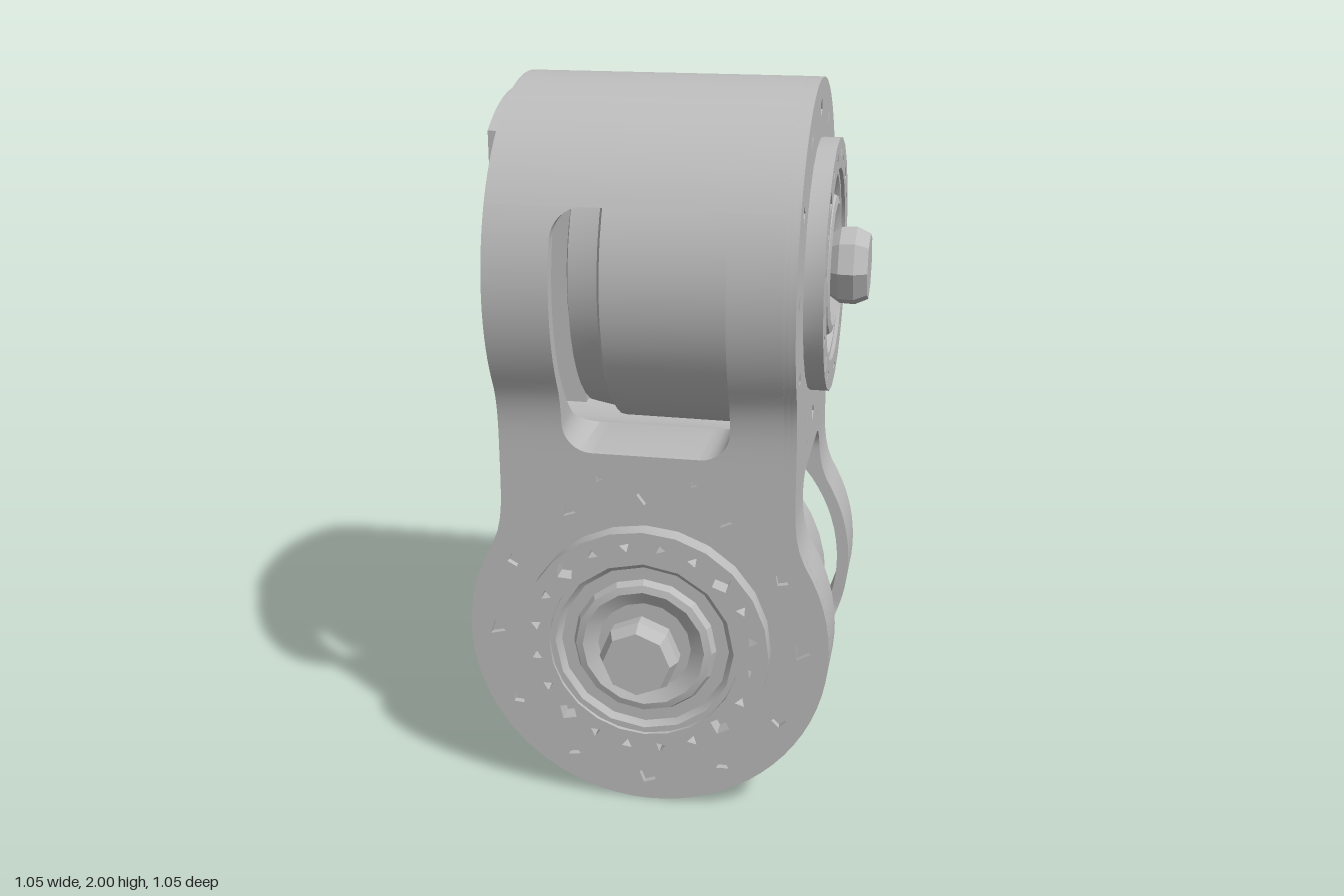
import * as THREE from 'three';
import { toCreasedNormals } from 'three/addons/utils/BufferGeometryUtils.js';

const R = 0.505, INNER = 0.47, NECK = 0.403, TOP = 0.495, BLEND = 0.26;
const BACK = -0.403, FLOOR = 0.37;
const WIN = { half: 0.227, low: -0.23, high: 0.445, corner: 0.08 };

const metal = new THREE.MeshStandardMaterial({ color: 0xbcbcbc });
metal.name = 'grey metal';

function mesh(name, geometry, crease = 0.5) {
  const m = new THREE.Mesh(toCreasedNormals(geometry, crease), metal);
  m.name = name;
  return m;
}

function extrude(shape, z0, z1, curveSegments = 24) {
  const g = new THREE.ExtrudeGeometry(shape, { depth: z1 - z0, bevelEnabled: false, curveSegments });
  return g.translate(0, 0, z0);
}

function lathe(points, sides) {
  const g = new THREE.LatheGeometry(points.map(p => new THREE.Vector2(...p)), sides);
  return g.rotateX(Math.PI / 2);
}

function box(x0, x1, y0, y1, z0, z1) {
  const g = new THREE.BoxGeometry(x1 - x0, y1 - y0, z1 - z0);
  return g.translate((x0 + x1) / 2, (y0 + y1) / 2, (z0 + z1) / 2);
}

// Small polygonal screw hole
function polyHole(x, y, r, sides, turn = 0) {
  const pts = [];
  for (let i = 0; i < sides; i++) {
    const a = turn - i / sides * Math.PI * 2;
    pts.push(new THREE.Vector2(x + r * Math.cos(a), y + r * Math.sin(a)));
  }
  return new THREE.Path(pts);
}

// Half width of the housing at height y: round end flowing into the neck
function halfWidth(y) {
  if (y <= BLEND) return Math.sqrt(R * R - y * y);
  const t = (y - BLEND) / (TOP - BLEND);
  return NECK + (Math.sqrt(R * R - BLEND * BLEND) - NECK) * (1 - t) ** 4;
}

function outline() {
  const a = Math.asin(BLEND / R), s = new THREE.Shape();
  s.absarc(0, 0, R, Math.PI - a, Math.PI * 2 + a, false);
  const ys = [1, 2, 3, 4, 5, 6].map(i => BLEND + (TOP - BLEND) * i / 6);
  ys.forEach(y => s.lineTo(halfWidth(y), y));
  ys.reverse().forEach(y => s.lineTo(-halfWidth(y), y));
  return s;
}

// Wall sections below and above the side windows
function endSections() {
  const { low, high } = WIN;
  const o = Math.asin(low / R), i = Math.asin(low / INNER), t = Math.asin(high / INNER);
  const bottom = new THREE.Shape();
  bottom.absarc(0, 0, R, Math.PI - o, Math.PI * 2 + o, false);
  bottom.absarc(0, 0, INNER, Math.PI * 2 + i, Math.PI - i, true);
  const top = new THREE.Shape();
  top.moveTo(halfWidth(high), high);
  top.lineTo(NECK, TOP);
  top.lineTo(-NECK, TOP);
  top.lineTo(-halfWidth(high), high);
  top.absarc(0, 0, INNER, Math.PI - t, t, true);
  return [bottom, top];
}

// Curved wall strip beside a window, lofted upwards from rectangular sections
function windowWall(side, front) {
  const { half, low, high, corner } = WIN, ys = [];
  for (let k = 0; k <= 8; k++) ys.push(low + corner * (1 - Math.cos(k / 8 * Math.PI / 2)));
  for (let k = 1; k < 16; k++) ys.push(low + corner + (high - low - 2 * corner) * k / 16);
  for (let k = 0; k <= 8; k++) ys.push(high - corner * (1 - Math.sin(k / 8 * Math.PI / 2)));
  const position = [], index = [];
  ys.forEach((y, j) => {
    const d = Math.min(corner, y - low, high - y);
    const w = half - corner + Math.sqrt(Math.max(0, corner ** 2 - (corner - d) ** 2));
    const [z0, z1] = front ? [w, FLOOR] : [BACK, -w];
    const out = side * halfWidth(y), inn = side * Math.sqrt(INNER ** 2 - y * y);
    position.push(out, y, z0, out, y, z1, inn, y, z1, inn, y, z0);
    if (j === 0) return;
    for (let c = 0; c < 4; c++) {
      const a = (j - 1) * 4 + c, b = (j - 1) * 4 + (c + 1) % 4;
      if (side > 0) index.push(a, a + 4, b, b, a + 4, b + 4);
      else index.push(a, b, a + 4, b, b + 4, a + 4);
    }
  });
  const g = new THREE.BufferGeometry();
  g.setAttribute('position', new THREE.Float32BufferAttribute(position, 3));
  g.setIndex(index);
  return g;
}

function housing() {
  const g = new THREE.Group();
  g.name = 'housing';
  endSections().forEach(s => g.add(mesh('housingEnd', extrude(s, BACK, FLOOR))));
  [-1, 1].forEach(side => [true, false].forEach(front =>
    g.add(mesh('windowWall', windowWall(side, front)))));
  // Closed face with a circle of screw holes
  g.add(mesh('faceBacking', extrude(outline(), FLOOR, 0.385)));
  const face = outline();
  for (let i = 0; i < 12; i++) {
    const a = i / 12 * Math.PI * 2;
    face.holes.push(polyHole(0.43 * Math.cos(a), 0.43 * Math.sin(a), i % 3 ? 0.021 : 0.026, i % 2 ? 4 : 3, i));
  }
  [-0.13, 0.13].forEach(x => face.holes.push(polyHole(x, 0.472, 0.011, 3)));
  g.add(mesh('facePlate', extrude(face, 0.385, 0.403)));
  return g;
}

function outputFlange() {
  const g = new THREE.Group();
  g.name = 'outputFlange';
  const ring = new THREE.Shape().absarc(0, 0, 0.347, 0, Math.PI * 2, false);
  ring.holes.push(new THREE.Path().absarc(0, 0, 0.265, 0, Math.PI * 2, true));
  for (let i = 0; i < 20; i++) {
    const a = (i + 0.5) / 20 * Math.PI * 2, big = i % 5 === 2;
    ring.holes.push(polyHole(0.305 * Math.cos(a), 0.305 * Math.sin(a), big ? 0.028 : 0.016, big ? 4 : 3, i));
  }
  g.add(mesh('flangeRing', extrude(ring, 0.403, 0.455, 12)));
  g.add(mesh('flangeDish', lathe([[0.268, 0.403], [0.268, 0.445], [0.25, 0.445], [0.235, 0.43],
    [0.2, 0.43], [0.19, 0.45], [0.17, 0.455], [0.13, 0.435], [0, 0.435]], 16), 0.3));
  g.add(mesh('centreBolt', lathe([[0.08, 0.43], [0.107, 0.468], [0.109, 0.51],
    [0.092, 0.547], [0, 0.547]], 8), 0.1));
  return g;
}

function motor() {
  return mesh('motor', lathe([[0, -0.22], [0.34, -0.22], [0.41, -0.2], [0.425, -0.12],
    [0.445, -0.11], [0.448, 0.372]], 40));
}

function backCover() {
  const g = new THREE.Group();
  g.name = 'backCover';
  const w = 0.257, r = 0.46, a = Math.acos(w / r);
  const plate = new THREE.Shape();
  plate.absarc(0, 0, r, Math.PI + a, Math.PI * 2 - a, false);
  [[w, 0.39], [0.2, 0.43], [0.13, 0.43], [0.13, 0.34], [-0.17, 0.34], [-0.17, 0.43], [-w, 0.43]]
    .forEach(p => plate.lineTo(...p));
  [[0.2, 0.31], [-0.2, 0.31], [0.2, -0.34], [-0.2, -0.34]]
    .forEach(([x, y], i) => plate.holes.push(polyHole(x, y, 0.016, 4, i)));
  g.add(mesh('coverPlate', extrude(plate, -0.445, -0.403, 12)));
  // Prongs gripping the neck
  [-0.213, 0.165].forEach(x =>
    g.add(mesh('coverProng', box(x - 0.035, x + 0.035, 0.4, 0.535, -0.447, -0.39))));
  // Faceted hub with a square socket
  const hub = new THREE.Shape(polyHole(0, 0, 0.145, 10, 0.3).getPoints());
  hub.holes.push(polyHole(0, 0, 0.06, 4, 0.4));
  g.add(mesh('coverHub', extrude(hub, -0.468, -0.44)));
  return g;
}

function electronics() {
  const g = new THREE.Group();
  g.name = 'electronics';
  g.add(mesh('controlBox', box(-0.245, 0.235, -0.36, 0.36, -0.404, -0.2)));
  // Connector sockets along one side
  const frame = new THREE.Shape([[-0.055, -0.06], [0.055, -0.06], [0.055, 0.06], [-0.055, 0.06]]
    .map(p => new THREE.Vector2(...p)));
  frame.holes.push(polyHole(0, 0, 0.055, 4, Math.PI / 4));
  [-0.21, 0.04].forEach(y => {
    g.add(mesh('connector', extrude(frame, -0.37, -0.27).translate(-0.29, y, 0)));
    g.add(mesh('connectorBase', box(-0.335, -0.2, y - 0.055, y + 0.055, -0.29, -0.21)));
  });
  [-0.32, -0.085, 0.19].forEach(y =>
    g.add(mesh('sideBracket', box(-0.29, -0.22, y - 0.025, y + 0.025, -0.39, -0.2))));
  return g;
}

function jointUnit(name) {
  const g = new THREE.Group();
  g.name = name;
  g.add(housing(), outputFlange(), motor(), backCover(), electronics());
  return g;
}

export function createModel() {
  const model = new THREE.Group();
  model.name = 'doubleRotaryJoint';
  const lower = jointUnit('lowerJoint');
  lower.position.set(-0.017, 0.505, -0.017);
  // The upper unit is the same part, upside down and facing sideways
  const upper = jointUnit('upperJoint');
  upper.position.set(-0.017, 1.495, -0.017);
  upper.quaternion.setFromAxisAngle(new THREE.Vector3(1, 0, 1).normalize(), Math.PI);
  model.add(lower, upper);
  return model;
}
